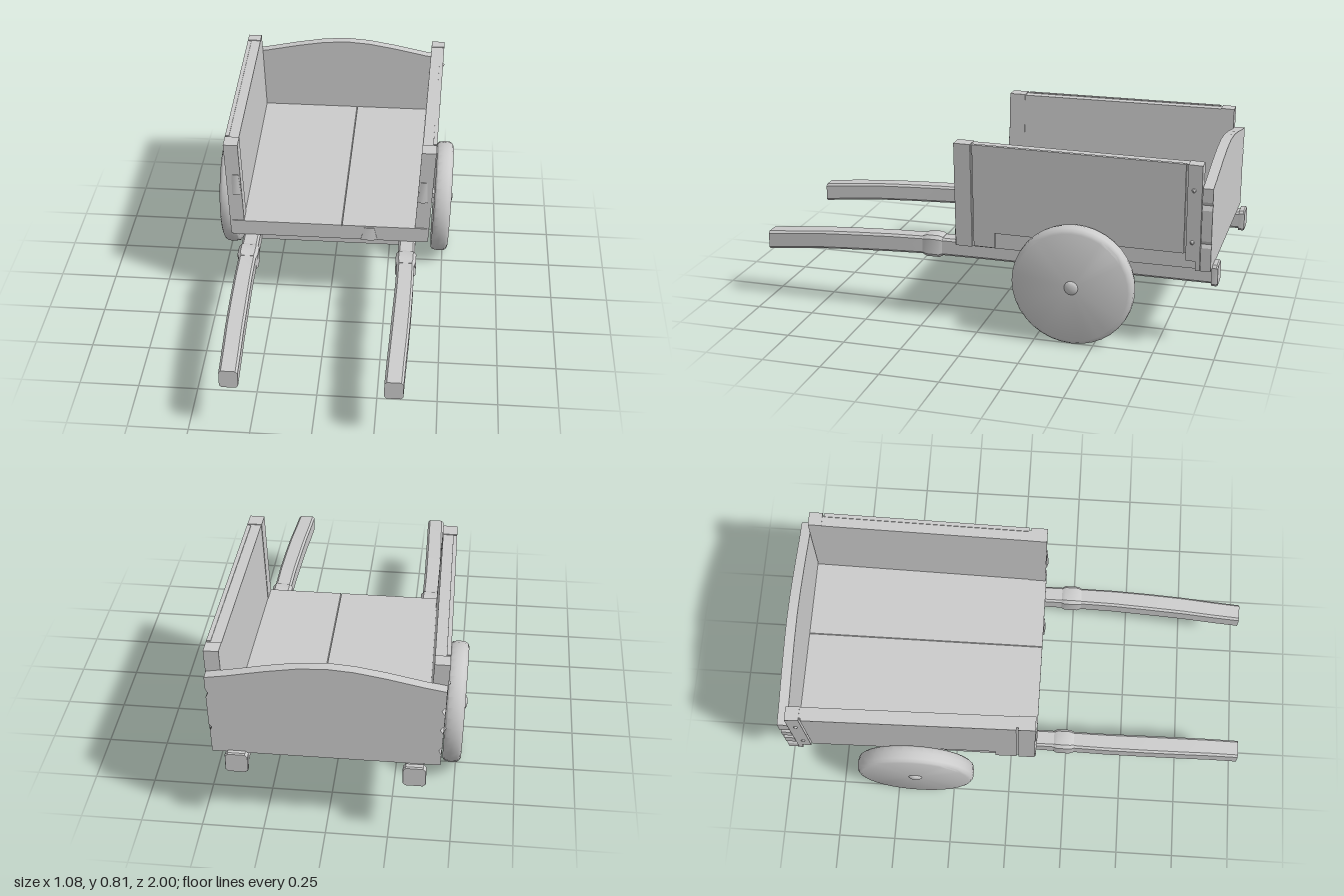
import * as THREE from 'three';
import { toCreasedNormals } from 'three/addons/utils/BufferGeometryUtils.js';

const material = new THREE.MeshStandardMaterial({ color: 0xcccccc });

function add(parent, name, geometry, crease = 0.6) {
  const mesh = new THREE.Mesh(toCreasedNormals(geometry, crease), material);
  mesh.name = name;
  parent.add(mesh);
  return mesh;
}

// Moves every vertex by a rule
function warp(geometry, rule) {
  const p = geometry.attributes.position;
  const v = new THREE.Vector3();
  for (let i = 0; i < p.count; i++) {
    v.fromBufferAttribute(p, i);
    rule(v);
    p.setXYZ(i, v.x, v.y, v.z);
  }
  return geometry;
}

function box(x0, x1, y0, y1, z0, z1) {
  return new THREE.BoxGeometry(x1 - x0, y1 - y0, z1 - z0)
    .translate((x0 + x1) / 2, (y0 + y1) / 2, (z0 + z1) / 2);
}

function extrude(points, depth, steps = 1) {
  const shape = new THREE.Shape(points.map(([x, y]) => new THREE.Vector2(x, y)));
  return new THREE.ExtrudeGeometry(shape, { depth, steps, bevelEnabled: false });
}

// Beam with chamfered edges; stations are [z, centre x, centre y, width, height]
function beam(stations, chamfer = 0.12) {
  const a = 0.5, b = 0.5 - chamfer;
  const n = stations.length - 1;
  const section = [[a, -b], [a, b], [b, a], [-b, a], [-a, b], [-a, -b], [-b, -a], [b, -a]];
  return warp(extrude(section, n, n), (v) => {
    const [z, cx, cy, w, h] = stations[Math.round(v.z)];
    v.set(cx + v.x * w, cy + v.y * h, z);
  });
}

// Side wall, leaning outwards and opening towards the back
function makeSide(s) {
  const side = new THREE.Group();
  side.name = s > 0 ? 'leftSide' : 'rightSide';
  const lean = (g) => warp(g, (v) => { v.x += s * (0.045 * (v.y - 0.36) - 0.017 * (v.z - 0.11)); });
  // layer from inner to outer distance, outline in (z, y)
  const layer = (name, inner, outer, outline) => {
    const g = extrude(outline.map(([z, y]) => [-z, y]), outer - inner);
    g.rotateY(Math.PI / 2).translate(s > 0 ? inner : -outer, 0, 0);
    add(side, name, lean(g), 0.3);
  };
  const top = 0.81;
  layer('sidePanel', 0.372, 0.42, [[0.105, 0.365], [0.105, top - 0.003], [-0.915, top - 0.006],
    [-0.915, 0.365], [-0.9, 0.365], [-0.9, 0.43], [-0.06, 0.43], [-0.06, 0.365]]);
  layer('outerBoard', 0.415, 0.432, [[0.031, 0.365], [0.031, top], [-0.852, top - 0.003],
    [-0.852, 0.43], [-0.06, 0.43], [-0.06, 0.365]]);
  layer('frontPost', 0.37, 0.432, [[0.11, 0.36], [0.11, top], [0.039, top], [0.039, 0.36]]);
  layer('backPost', 0.372, 0.432, [[-0.86, 0.4], [-0.86, top - 0.003], [-0.918, top - 0.005],
    [-0.918, 0.36], [-0.9, 0.36], [-0.9, 0.4]]);
  // worn lump on the front end
  const lump = new THREE.CylinderGeometry(0.016, 0.024, 0.1, 6).scale(1, 1, 0.5)
    .translate(s * 0.392, 0.615, 0.108);
  add(side, 'wornEdge', lean(lump));
  for (const [y, z] of [[0.48, -0.885], [0.7, -0.885]]) {
    add(side, 'peg', lean(new THREE.SphereGeometry(0.009, 8, 6).translate(s * 0.432, y, z)));
  }
  return side;
}

function makeWheel(s) {
  const wheel = new THREE.Group();
  wheel.name = s > 0 ? 'leftWheel' : 'rightWheel';
  const profile = [[0, -0.038], [0.242, -0.038], [0.252, -0.03], [0.257, -0.005],
    [0.255, 0.022], [0.246, 0.034], [0.235, 0.039], [0, 0.039]];
  const disc = new THREE.LatheGeometry(profile.map(([x, y]) => new THREE.Vector2(x, y)), 36);
  add(wheel, 'disc', disc.rotateZ(-s * Math.PI / 2), 0.7);
  const hub = new THREE.SphereGeometry(0.03, 12, 8).scale(0.4, 1, 1).translate(s * 0.038, 0, 0);
  add(wheel, 'hub', hub, 0.8);
  wheel.position.set(s * 0.488, 0.261, -0.41);
  wheel.rotation.z = -s * 0.025;
  return wheel;
}

function makeShaft(s) {
  const shaft = new THREE.Group();
  shaft.name = s > 0 ? 'leftShaft' : 'rightShaft';
  // the two handles droop by slightly different amounts
  const d = s > 0 ? 0.008 : -0.006;
  const back = s > 0 ? -0.985 : -1;
  add(shaft, 'pole', beam([
    [back, s * 0.348, 0.322, 0.074, 0.076],
    [0, s * 0.341, 0.322, 0.072, 0.076],
    [0.27, s * 0.341, 0.322, 0.074, 0.078],
    [0.42, s * 0.341, 0.317, 0.076, 0.08],
    [0.58, s * 0.338, 0.31 - d * 0.3, 0.078, 0.08],
    [0.74, s * 0.334, 0.301 - d * 0.6, 0.078, 0.08],
    [0.88, s * 0.329, 0.288 - d, 0.077, 0.081],
    [1, s * 0.326, 0.275 - d, 0.076, 0.082],
  ]));
  add(shaft, 'collar', beam([
    [0.19, s * 0.341, 0.322, 0.076, 0.082],
    [0.205, s * 0.341, 0.322, 0.088, 0.096],
    [0.26, s * 0.341, 0.322, 0.088, 0.096],
    [0.278, s * 0.341, 0.321, 0.076, 0.082],
  ], 0.15));
  add(shaft, 'backCap', beam([
    [back, s * 0.35, 0.322, 0.088, 0.084],
    [back + 0.006, s * 0.35, 0.322, 0.092, 0.092],
    [back + 0.026, s * 0.35, 0.322, 0.09, 0.09],
  ]));
  return shaft;
}

export function createModel() {
  const cart = new THREE.Group();
  cart.name = 'handcart';

  // Floor with a shallow crack along its length
  add(cart, 'floor', extrude([[-0.425, 0.36], [0.425, 0.36], [0.425, 0.43], [0.057, 0.43],
    [0.055, 0.424], [0.053, 0.43], [-0.425, 0.43]], 1.035).translate(0, 0, -0.92), 0.3);
  add(cart, 'frontLump', new THREE.CylinderGeometry(0.025, 0.042, 0.06, 6)
    .scale(1, 1, 0.25).translate(0.175, 0.392, 0.114));

  // Arched back board with nicked ends
  const outline = [[-0.448, 0.36], [0.448, 0.36], [0.452, 0.46], [0.444, 0.475], [0.455, 0.49],
    [0.46, 0.62], [0.451, 0.64], [0.461, 0.655], [0.463, 0.712], [0.38, 0.726], [0.23, 0.757],
    [0.11, 0.777], [0, 0.785], [-0.11, 0.777], [-0.23, 0.757], [-0.38, 0.726], [-0.463, 0.712],
    [-0.461, 0.64], [-0.445, 0.62], [-0.459, 0.6], [-0.457, 0.55], [-0.442, 0.53], [-0.455, 0.51],
    [-0.453, 0.45], [-0.44, 0.43], [-0.45, 0.41]];
  add(cart, 'backBoard', extrude(outline, 0.042).translate(0, 0, -0.962), 0.3);

  // Cross beams under the floor, and the axle
  for (let i = 0; i < 5; i++) {
    const z = -0.84 + i * 0.215;
    add(cart, 'crossBeam', box(-0.345, 0.345, 0.297, 0.362, z - 0.035, z + 0.035));
  }
  add(cart, 'axle', box(-0.455, 0.455, 0.235, 0.289, -0.438, -0.382));

  for (const s of [1, -1]) cart.add(makeSide(s), makeWheel(s), makeShaft(s));
  return cart;
}
